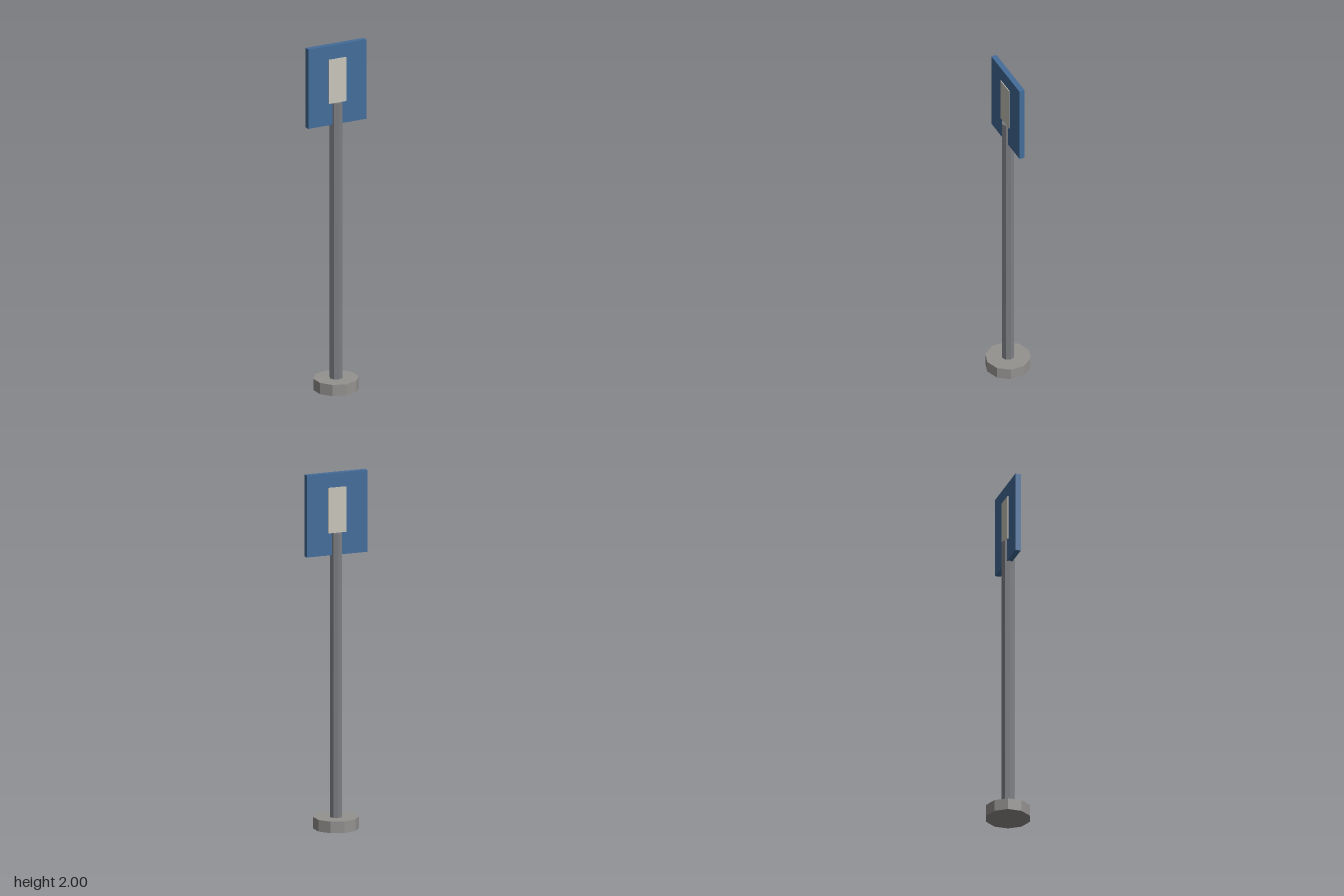
import * as THREE from 'three';

export function createModel() {
  const group = new THREE.Group();
  const add = (name, geometry, color, y) => {
    const mesh = new THREE.Mesh(geometry, new THREE.MeshStandardMaterial({ color, flatShading: true }));
    mesh.name = name;
    mesh.position.y = y;
    group.add(mesh);
  };
  const baseHeight = 0.065, poleTop = 1.665;

  // Ten-sided foot
  add('base', new THREE.CylinderGeometry(0.126, 0.126, baseHeight, 10), 0x94928f, baseHeight / 2);

  // Eight-sided post standing on the foot
  add('pole', new THREE.CylinderGeometry(0.036, 0.036, poleTop - baseHeight, 8), 0x7c7e83, (poleTop + baseHeight) / 2);

  // Sign board, cut through by the post
  add('signBoard', new THREE.BoxGeometry(0.358, 0.46, 0.031), 0x446e9b, 1.77);

  // Pale plate showing on both faces of the board
  add('signPlate', new THREE.BoxGeometry(0.106, 0.255, 0.04), 0xc9c5bb, 1.7925);

  return group;
}
